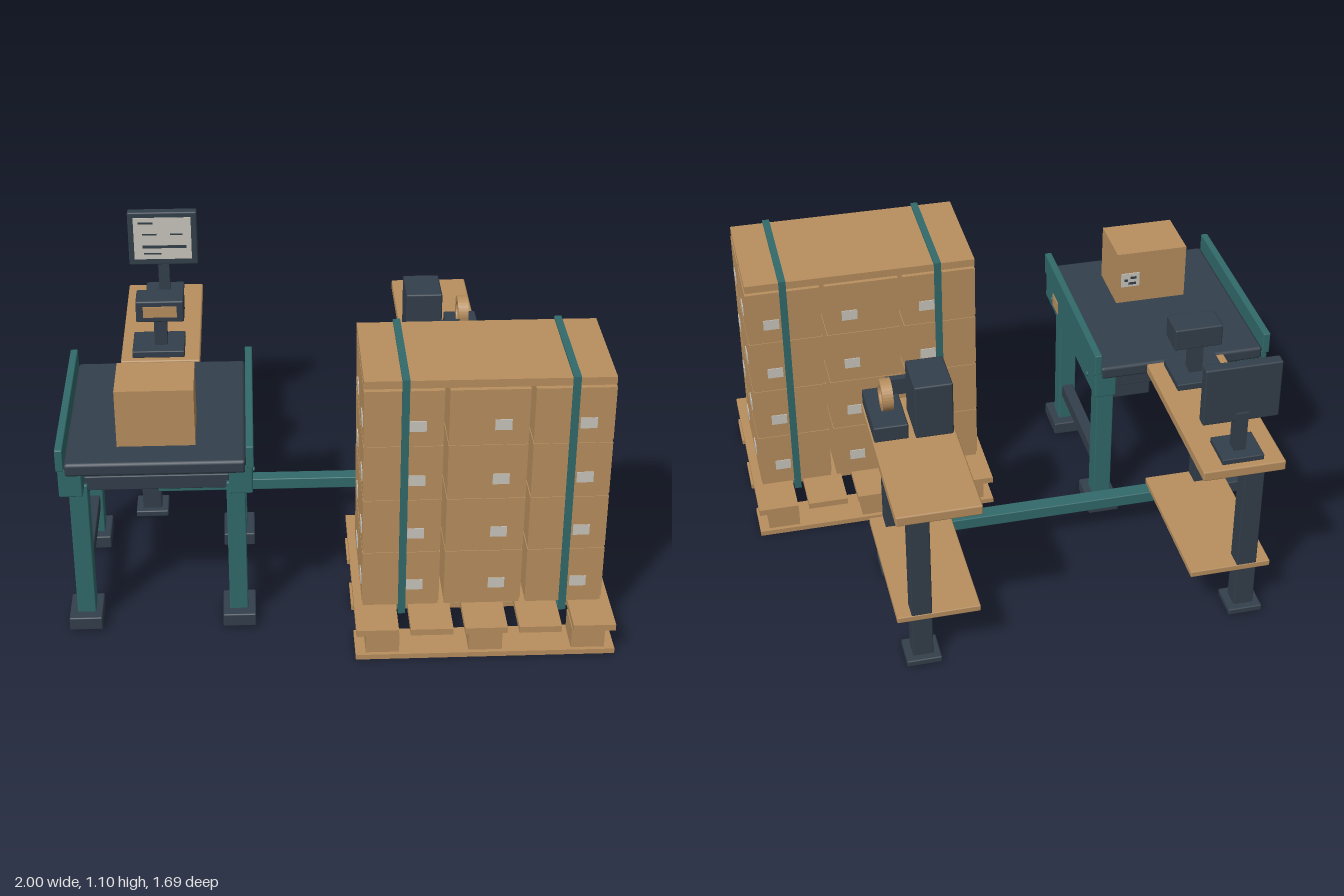
import * as THREE from 'three';
import { RoundedBoxGeometry } from 'three/addons/geometries/RoundedBoxGeometry.js';

const material = (name, color) => {
  const m = new THREE.MeshStandardMaterial({ color });
  m.name = name;
  return m;
};

export function createModel() {
  const tan = material('cardboard and wood', 0xb88f5f);
  const teal = material('teal paint', 0x316a6b);
  const dark = material('dark steel', 0x333f4b);
  const paper = material('pale paper', 0xc9c6bd);

  const model = new THREE.Group();
  model.name = 'packingStation';
  const group = (name) => {
    const g = new THREE.Group();
    g.name = name;
    model.add(g);
    return g;
  };
  const add = (parent, name, mat, geo, x, y, z) => {
    const mesh = new THREE.Mesh(geo, mat);
    mesh.name = name;
    mesh.position.set(x, y, z);
    parent.add(mesh);
    return mesh;
  };
  // Box given by its extents; bevel rounds the edges by one step
  const box = (parent, name, mat, [x0, x1], [y0, y1], [z0, z1], bevel = 0) => {
    const size = [x1 - x0, y1 - y0, z1 - z0];
    const geo = bevel ? new RoundedBoxGeometry(...size, 1, bevel) : new THREE.BoxGeometry(...size);
    return add(parent, name, mat, geo, (x0 + x1) / 2, (y0 + y1) / 2, (z0 + z1) / 2);
  };
  const span = (c, w) => [c - w / 2, c + w / 2];

  // Conveyor: belt, side frames, legs and stretchers
  const conveyor = group('conveyor');
  const cx = -0.65;
  box(conveyor, 'belt', dark, [-0.972, -0.328], [0.675, 0.727], [-0.138, 0.642], 0.012);
  for (const s of [-1, 1]) {
    box(conveyor, 'sideRail', teal, span(cx + s * 0.336, 0.028), [0.70, 0.787], [-0.138, 0.645], 0.004);
    box(conveyor, 'sideBeam', teal, span(cx + s * 0.303, 0.085), [0.59, 0.705], [-0.13, 0.637], 0.006);
    box(conveyor, 'sidePlate', tan, span(cx + s * 0.346, 0.006), [0.62, 0.67], span(0.475, 0.08));
    for (const z of [-0.02, 0.535]) {
      box(conveyor, 'leg', teal, span(cx + s * 0.283, 0.068), [0.05, 0.60], span(z, 0.08), 0.004);
      box(conveyor, 'foot', dark, span(cx + s * 0.285, 0.122), [0, 0.053], span(z, 0.165), 0.005);
      const bolt = add(conveyor, 'bolt', teal, new THREE.CylinderGeometry(0.009, 0.009, 0.006, 12), cx + s * 0.348, 0.632, z);
      bolt.rotation.z = Math.PI / 2;
    }
    box(conveyor, 'lowStretcher', dark, span(cx + s * 0.283, 0.045), [0.163, 0.22], [0.015, 0.5], 0.004);
  }
  for (const z of [-0.02, 0.535])
    box(conveyor, 'crossMember', dark, [-0.91, -0.39], [0.57, 0.627], span(z, 0.05), 0.004);
  box(conveyor, 'driveMotor', dark, [-0.575, -0.408], [0.467, 0.61], [0.02, 0.112], 0.008);

  // Carton travelling on the belt, with a shipping label on its rear face
  const carton = group('beltCarton');
  box(carton, 'carton', tan, [-0.79, -0.508], [0.727, 0.95], [0.30, 0.52]);
  box(carton, 'cartonLabel', paper, [-0.60, -0.525], [0.80, 0.86], [0.296, 0.301]);
  for (const [x, y, w] of [[-0.575, 0.84, 0.025], [-0.545, 0.83, 0.015], [-0.57, 0.815, 0.03]])
    box(carton, 'labelMark', dark, span(x, w), span(y, 0.01), [0.294, 0.297]);

  // Two work benches with legs set toward the outer side
  for (const [name, x, s] of [['monitorBench', -0.657, -1], ['labelBench', 0.448, 1]]) {
    const bench = group(name);
    const lx = x + s * 0.063;
    box(bench, 'benchTop', tan, span(x, 0.308), [0.687, 0.727], [-0.846, -0.143], 0.006);
    box(bench, 'lowerShelf', tan, span(x, 0.308), [0.195, 0.22], [-0.788, -0.196], 0.004);
    box(bench, 'topBeam', teal, span(lx, 0.06), [0.63, 0.688], [-0.72, -0.26]);
    box(bench, 'shelfBeam', teal, span(lx, 0.05), [0.165, 0.196], [-0.72, -0.26]);
    for (const z of [-0.23, -0.75]) {
      box(bench, 'benchLeg', dark, span(lx, 0.076), [0.02, 0.688], span(z, 0.072), 0.004);
      box(bench, 'benchFoot', dark, span(lx, 0.13), [0, 0.026], span(z, 0.128), 0.005);
    }
  }
  box(model, 'tieBar', teal, [-0.69, 0.48], [0.118, 0.166], [-0.226, -0.166], 0.004);

  // Monitor on its stand
  const monitor = group('monitor');
  box(monitor, 'monitorBase', dark, [-0.736, -0.58], [0.727, 0.75], [-0.82, -0.676], 0.004);
  box(monitor, 'monitorStem', dark, span(-0.658, 0.045), [0.745, 0.91], [-0.775, -0.728]);
  box(monitor, 'monitorCase', dark, [-0.798, -0.515], [0.872, 1.104], [-0.766, -0.722], 0.006);
  box(monitor, 'screen', paper, [-0.775, -0.54], [0.90, 1.082], [-0.724, -0.718]);
  for (const [x, y, w, h] of [[-0.725, 1.06, 0.06, 0.008], [-0.71, 1.01, 0.06, 0.006], [-0.60, 1.01, 0.05, 0.006],
    [-0.65, 0.955, 0.18, 0.012], [-0.70, 0.925, 0.07, 0.006]])
    box(monitor, 'screenBar', dark, span(x, w), span(y, h), [-0.719, -0.716]);

  // Scanner on a pedestal
  const scanner = group('scanner');
  box(scanner, 'scannerBase', dark, [-0.766, -0.563], [0.727, 0.755], [-0.346, -0.168], 0.004);
  box(scanner, 'scannerStem', dark, span(-0.655, 0.05), [0.75, 0.88], span(-0.25, 0.05));
  box(scanner, 'scannerHead', dark, [-0.745, -0.56], [0.875, 0.963], [-0.295, -0.18], 0.006);
  box(scanner, 'scannerWindow', tan, span(-0.652, 0.13), [0.898, 0.942], [-0.181, -0.175]);

  // Label printer with a paper strip
  const printer = group('labelPrinter');
  box(printer, 'printerCase', dark, [0.305, 0.446], [0.727, 0.948], [-0.413, -0.228], 0.006);
  box(printer, 'paperStrip', paper, [0.33, 0.407], [0.80, 0.806], [-0.23, -0.183]);

  // Tape dispenser with its roll and cutter
  const dispenser = group('tapeDispenser');
  box(dispenser, 'dispenserBase', dark, [0.47, 0.597], [0.727, 0.79], [-0.405, -0.148], 0.005);
  box(dispenser, 'cutter', dark, [0.435, 0.515], [0.785, 0.852], [-0.205, -0.178]);
  const ring = new THREE.Shape().absarc(0, 0, 0.06, 0, Math.PI * 2, false);
  ring.holes.push(new THREE.Path().absarc(0, 0, 0.036, 0, Math.PI * 2, true));
  const rollGeo = new THREE.ExtrudeGeometry(ring, { depth: 0.04, bevelEnabled: false, curveSegments: 16 });
  add(dispenser, 'tapeRoll', tan, rollGeo, 0.51, 0.85, -0.285).rotation.y = Math.PI / 2;

  // Pallet: deck boards along z, runners along x, blocks between
  const pallet = group('pallet');
  const px = 0.5275, pz = 0.453;
  for (let i = -2; i <= 2; i++)
    box(pallet, 'deckBoard', tan, span(px + i * 0.197, 0.154), [0.102, 0.127], [0.06, 0.846]);
  for (let j = -1; j <= 1; j++) {
    box(pallet, 'runner', tan, [0.055, 1.0], [0, 0.02], span(pz + j * 0.313, 0.157));
    for (let i = -1; i <= 1; i++)
      box(pallet, 'block', tan, span(px + i * 0.375, 0.122), [0.02, 0.102], span(pz + j * 0.313, 0.126));
  }

  // Stack of cartons, each with a label on its outward faces
  const stack = group('cartonStack');
  for (let k = 0; k < 4; k++) {
    const y = 0.145 + k * 0.221;
    for (let i = -1; i <= 1; i++) {
      const x = 0.526 + i * 0.3;
      for (const j of [-1, 1]) {
        const z = 0.455 + j * 0.12;
        box(stack, 'carton', tan, span(x, 0.282), [y, y + 0.21], span(z, 0.221));
        box(stack, 'cartonSeam', tan, span(x, 0.276), [y - 0.018, y], span(z, 0.215));
        box(stack, 'endLabel', paper, span(x + 0.05, 0.06), [y + 0.05, y + 0.092], span(z + j * 0.111, 0.005));
        if (i) box(stack, 'sideLabel', paper, span(x + i * 0.1415, 0.005), [y + 0.05, y + 0.092], span(z + 0.038, 0.064));
      }
    }
  }
  box(stack, 'topSheet', tan, [0.085, 0.965], [1.028, 1.058], [0.225, 0.685]);

  // Straps: closed loops around the load
  const straps = group('straps');
  for (const x of [0.231, 0.824]) {
    const loop = new THREE.Shape().moveTo(0.215, 0.094).lineTo(0.694, 0.094).lineTo(0.694, 1.066).lineTo(0.215, 1.066).closePath();
    loop.holes.push(new THREE.Path().moveTo(0.223, 0.101).lineTo(0.223, 1.058).lineTo(0.686, 1.058).lineTo(0.686, 0.101).closePath());
    const geo = new THREE.ExtrudeGeometry(loop, { depth: 0.027, bevelEnabled: false });
    add(straps, 'strap', teal, geo, x + 0.0135, 0, 0).rotation.y = -Math.PI / 2;
  }
  return model;
}
